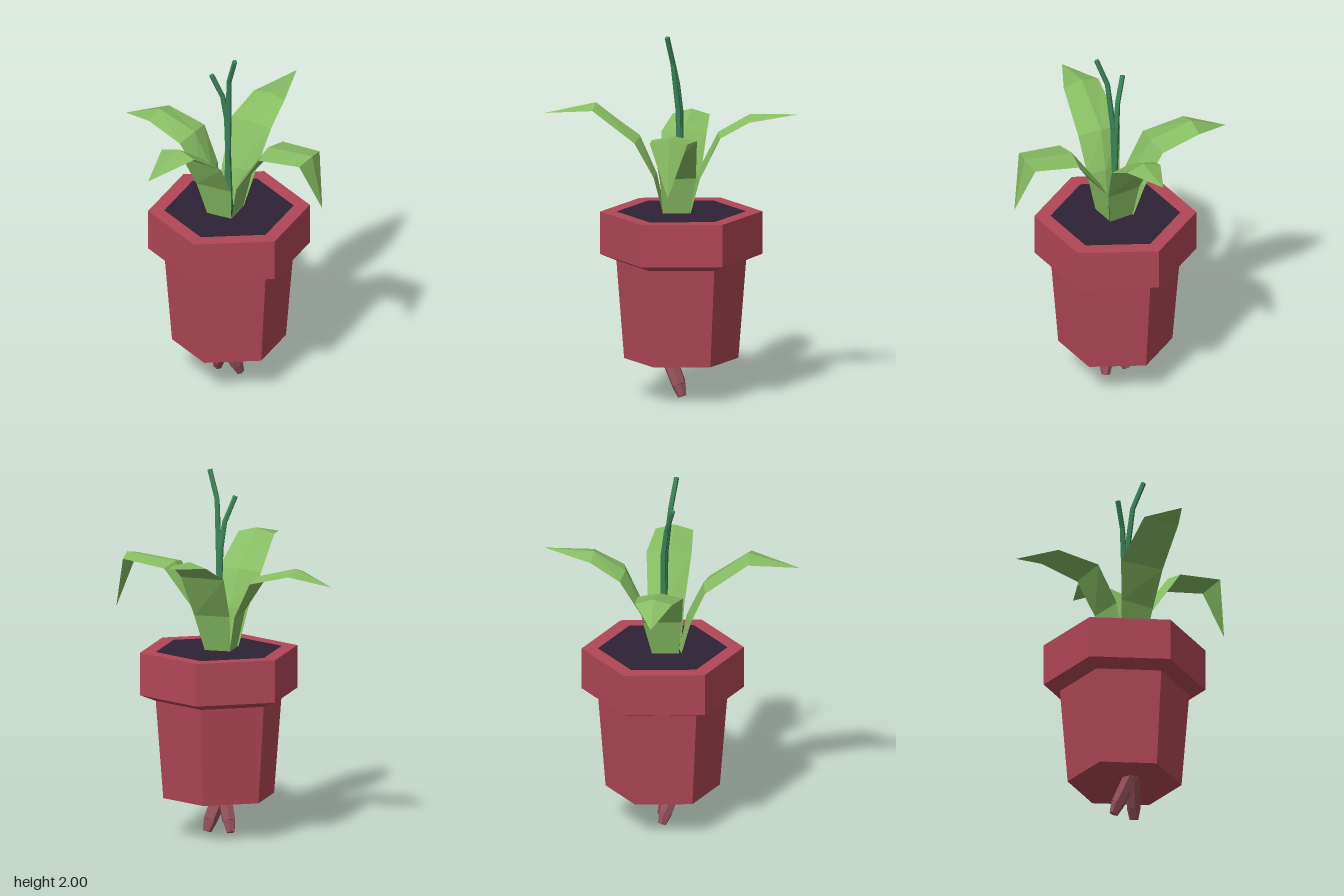
import * as THREE from 'three';

const mat = (name, color) => {
  const m = new THREE.MeshStandardMaterial({ color, flatShading: true });
  m.name = name;
  return m;
};

function add(parent, name, geometry, material) {
  const mesh = new THREE.Mesh(geometry, material);
  mesh.name = name;
  parent.add(mesh);
  return mesh;
}

// Chain of straight tapered pieces; each point is [x, y, z, radius]
function limb(name, points, sides, material) {
  const group = new THREE.Group();
  group.name = name;
  for (let i = 0; i + 1 < points.length; i++) {
    const a = new THREE.Vector3(...points[i]), b = new THREE.Vector3(...points[i + 1]);
    const dir = b.clone().sub(a);
    const piece = add(group, name + 'Piece',
      new THREE.CylinderGeometry(points[i + 1][3], points[i][3], dir.length(), sides), material);
    piece.position.copy(a).add(b).multiplyScalar(0.5);
    piece.quaternion.setFromUnitVectors(new THREE.Vector3(0, 1, 0), dir.normalize());
  }
  return group;
}

// Leaf with a flat underside and a low ridge on top.
// Rows are [x, y, z, half width, ridge height]; the last row is the tip.
function leafGeometry(out, rows) {
  const up = new THREE.Vector3(0, 1, 0);
  const side = up.clone().cross(out);
  const centre = rows.map(r => new THREE.Vector3(r[0], r[1], r[2]));
  const rings = rows.slice(0, -1).map((r, i) => {
    const t = centre[i + 1].clone().sub(centre[Math.max(i - 1, 0)]);
    const normal = up.clone().multiplyScalar(t.dot(out)).addScaledVector(out, -t.y).normalize();
    const skew = i > 1 ? 0.12 * r[3] : 0;
    const edge = k => centre[i].clone().addScaledVector(side, k * r[3]).addScaledVector(out, k * skew);
    return [centre[i].clone().addScaledVector(normal, r[4]), edge(-1), edge(1)];
  });
  const tip = centre[centre.length - 1];
  const pos = [];
  const tri = (...v) => v.forEach(p => pos.push(p.x, p.y, p.z));
  rings.forEach((ring, i) => {
    const next = rings[i + 1];
    for (let j = 0; j < 3; j++) {
      const k = (j + 1) % 3;
      if (next) {
        tri(ring[j], ring[k], next[k]);
        tri(ring[j], next[k], next[j]);
      } else tri(ring[j], ring[k], tip);
    }
  });
  const g = new THREE.BufferGeometry();
  g.setAttribute('position', new THREE.Float32BufferAttribute(pos, 3));
  g.computeVertexNormals();
  return g;
}

export function createModel() {
  const red = mat('potRed', 0xb24757);
  const soil = mat('soilDark', 0x2e2235);
  const green = mat('leafGreen', 0x87bd63);
  const stemGreen = mat('stemGreen', 0x3c8659);
  const rootBrown = mat('rootBrown', 0x95525c);

  const model = new THREE.Group();
  model.name = 'pottedPlant';

  // Hexagonal pot, from the middle of its base to the inside of its rim
  const profile = [[0, 0.21], [0.31, 0.21], [0.352, 0.75], [0.44, 0.785], [0.44, 1.02], [0.352, 1.02]]
    .map(p => new THREE.Vector2(...p));
  const pot = new THREE.Group();
  pot.name = 'pot';
  pot.position.set(0.03, 0, -0.05);
  model.add(pot);
  add(pot, 'potBody', new THREE.LatheGeometry(profile, 6), red);
  const top = add(pot, 'soil', new THREE.CircleGeometry(0.352, 6, Math.PI / 2), soil);
  top.rotation.x = -Math.PI / 2;
  top.position.y = 1.02;

  // Four bent leaves around the middle
  const leaves = {
    frontLeaf: [[0, 1], [
      [0.02, 1.0, 0.045, 0.07, 0.01], [0.01, 1.22, 0.1, 0.103, 0.02], [-0.02, 1.41, 0.19, 0.125, 0.025],
      [-0.05, 1.58, 0.42, 0.104, 0.03], [-0.1, 1.54, 0.69]]],
    leftLeaf: [[1, 0], [
      [0.09, 1.0, -0.02, 0.07, 0.01], [0.13, 1.22, -0.03, 0.098, 0.02], [0.3, 1.465, -0.01, 0.122, 0.025],
      [0.55, 1.495, 0.025, 0.102, 0.028], [0.63, 1.21, 0.03]]],
    rightLeaf: [[-1, 0], [
      [-0.045, 1.0, -0.035, 0.07, 0.01], [-0.09, 1.22, -0.055, 0.105, 0.02], [-0.2, 1.415, -0.068, 0.123, 0.025],
      [-0.42, 1.47, -0.11, 0.1, 0.03], [-0.63, 1.41, -0.13]]],
    backLeaf: [[0, -1], [
      [0.02, 1.0, -0.095, 0.07, 0.01], [0.04, 1.22, -0.15, 0.1, 0.02], [0.06, 1.45, -0.27, 0.125, 0.025],
      [0.088, 1.54, -0.43, 0.098, 0.03], [0.13, 1.575, -0.69]]],
  };
  for (const [name, [[ox, oz], rows]] of Object.entries(leaves)) {
    add(model, name, leafGeometry(new THREE.Vector3(ox, 0, oz), rows), green);
  }

  // Two thin stems rising between the leaves
  model.add(limb('tallStem', [
    [0.02, 1.0, -0.045, 0.016], [0.035, 1.58, -0.035, 0.016],
    [0.052, 1.84, -0.005, 0.014], [0.102, 1.995, 0.027, 0.014]], 6, stemGreen));
  model.add(limb('shortStem', [
    [0.04, 1.0, -0.045, 0.016], [0.02, 1.58, -0.045, 0.016],
    [0.002, 1.72, -0.03, 0.014], [-0.05, 1.86, 0.002, 0.014]], 6, stemGreen));

  // Two stubby roots crossing under the pot
  for (const [name, s] of [['leftRoot', 1], ['rightRoot', -1]]) {
    const x = d => 0.028 + s * d;
    model.add(limb(name, [
      [x(0), 0.23, 0.025, 0.045], [x(0.052), 0.07, -0.035, 0.038], [x(0.067), 0.01, -0.055, 0.024]], 6, rootBrown));
  }

  return model;
}
